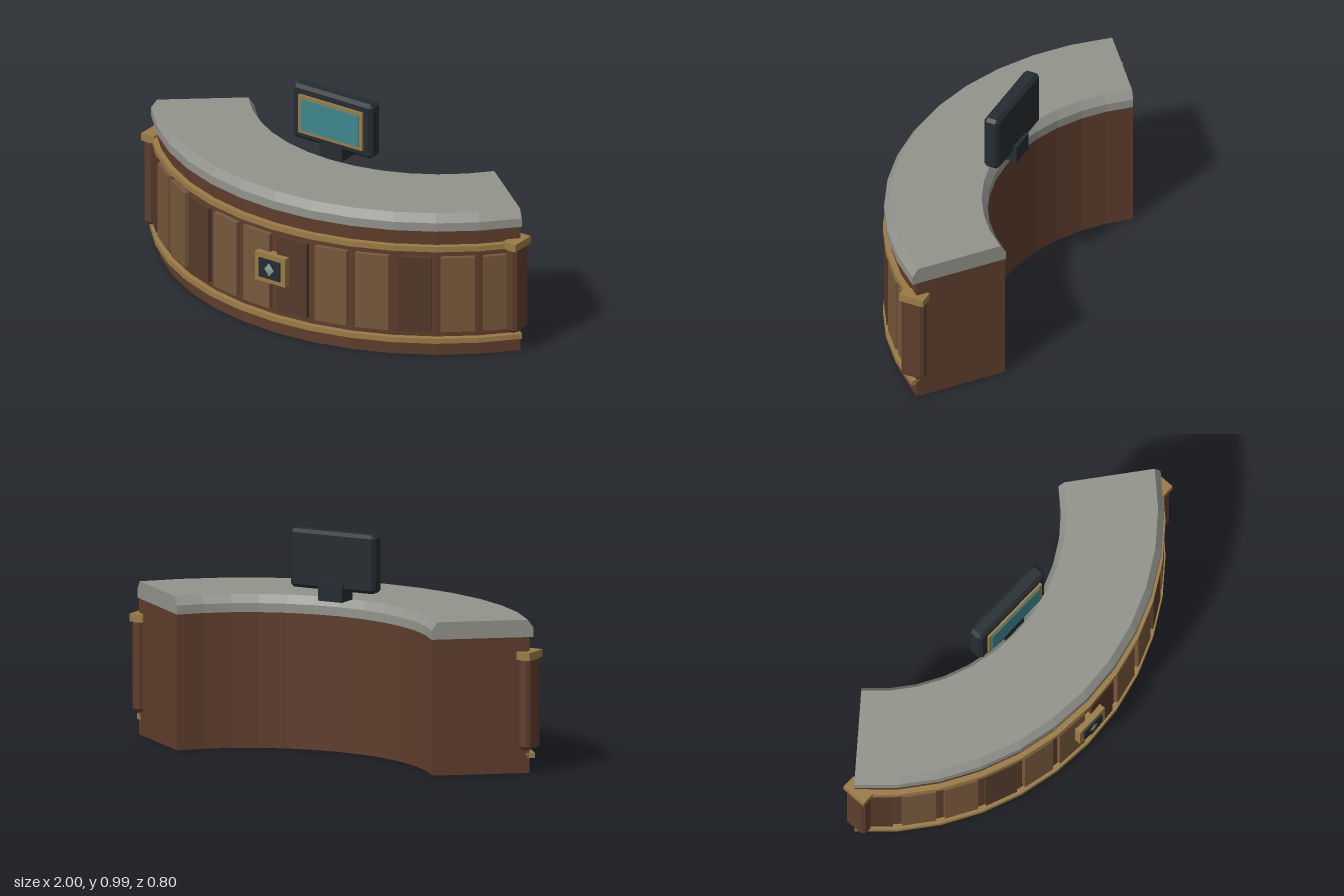
import * as THREE from 'three';
import { mergeGeometries } from 'three/addons/utils/BufferGeometryUtils.js';
import { ConvexGeometry } from 'three/addons/geometries/ConvexGeometry.js';

const HALF = 0.9;      // half of the counter's sweep, radians
const SEGS = 12;       // facets along the arc
const CZ = -0.904;     // z of the arc's centre

const paint = (color) => new THREE.MeshStandardMaterial({ color, flatShading: true });

// Closed (radius, height) section, counter-clockwise, swept along the arc with capped ends
function arcSweep(section) {
  const pts = section.map(([r, y]) => new THREE.Vector2(r, y));
  const side = new THREE.LatheGeometry([...pts, pts[0].clone()], SEGS, -HALF, HALF * 2);
  const start = new THREE.ShapeGeometry(new THREE.Shape(pts));
  const end = start.clone();
  end.index.array.reverse();
  start.rotateY(-HALF - Math.PI / 2);
  end.rotateY(HALF - Math.PI / 2);
  return mergeGeometries([side, start, end]).translate(0, 0, CZ);
}

// Box with all edges cut at 45 degrees
function chamferBox(w, h, d, b) {
  const pts = [];
  for (const sx of [-1, 1]) for (const sy of [-1, 1]) for (const sz of [-1, 1]) {
    for (let axis = 0; axis < 3; axis++) {
      const c = [w / 2 - b, h / 2 - b, d / 2 - b];
      c[axis] += b;
      pts.push(new THREE.Vector3(sx * c[0], sy * c[1], sz * c[2]));
    }
  }
  return new ConvexGeometry(pts);
}

export function createModel() {
  const model = new THREE.Group();
  model.name = 'receptionDesk';

  const wood = paint(0x5e3d2c);
  const darkWood = paint(0x553a2b);
  const lightWood = paint(0x76583b);
  const brass = paint(0x9b7b45);
  const stone = paint(0x92938b);
  const black = paint(0x252c31);
  const teal = paint(0x3f868c);
  const gem = paint(0x86a09c);

  const add = (name, geometry, material, x = 0, y = 0, z = 0, parent = model) => {
    const mesh = new THREE.Mesh(geometry, material);
    mesh.name = name;
    mesh.position.set(x, y, z);
    parent.add(mesh);
    return mesh;
  };
  const box = (w, h, d) => new THREE.BoxGeometry(w, h, d);

  // Curved body and bevelled stone top
  add('body', arcSweep([[0.817, 0], [1.245, 0], [1.245, 0.604], [0.817, 0.604]]), wood);
  add('countertop', arcSweep([
    [0.813, 0.603], [1.264, 0.603], [1.264, 0.643], [1.238, 0.68], [0.838, 0.68], [0.813, 0.643],
  ]), stone);

  // Brass rails round the front
  for (const [name, y0, y1] of [['lowerRail', 0.065, 0.089], ['upperRail', 0.506, 0.531]]) {
    add(name, arcSweep([[1.23, y0], [1.27, y0], [1.27, y1], [1.23, y1]]), brass);
  }

  // One flat panel per facet, every third one dark
  const panels = new THREE.Group();
  panels.name = 'frontPanels';
  model.add(panels);
  for (let i = 0; i < SEGS; i++) {
    const a = -HALF + (i + 0.5) * (2 * HALF / SEGS);
    const r = 1.25;
    const panel = add('frontPanel', box(0.15, 0.357, 0.024), i % 3 ? lightWood : darkWood,
      r * Math.sin(a), 0.2965, CZ + r * Math.cos(a), panels);
    panel.rotation.y = a;
  }

  // Posts with brass caps at both ends
  for (const [side, s] of [['left', 1], ['right', -1]]) {
    add(side + 'Post', chamferBox(0.058, 0.41, 0.11, 0.014), wood, s * 0.966, 0.31, -0.115);
    add(side + 'PostCap', box(0.066, 0.034, 0.118), brass, s * 0.967, 0.523, -0.115);
  }

  // Emblem plate on the front
  add('emblemFrame', box(0.16, 0.136, 0.05), brass, 0, 0.323, 0.36);
  add('emblemPlate', box(0.114, 0.09, 0.04), black, 0, 0.323, 0.373);
  const diamond = add('emblemDiamond', new THREE.OctahedronGeometry(1), gem, 0, 0.323, 0.392);
  diamond.scale.set(0.031, 0.04, 0.005);

  // Monitor on its stand
  add('monitorStand', box(0.12, 0.08, 0.096), black, 0, 0.72, -0.123);
  add('monitorCase', chamferBox(0.424, 0.26, 0.073, 0.015), black, 0, 0.856, -0.118);
  add('screenFrame', box(0.34, 0.182, 0.02), brass, 0, 0.855, -0.08);
  add('screen', box(0.31, 0.15, 0.02), teal, 0, 0.855, -0.075);

  return model;
}
